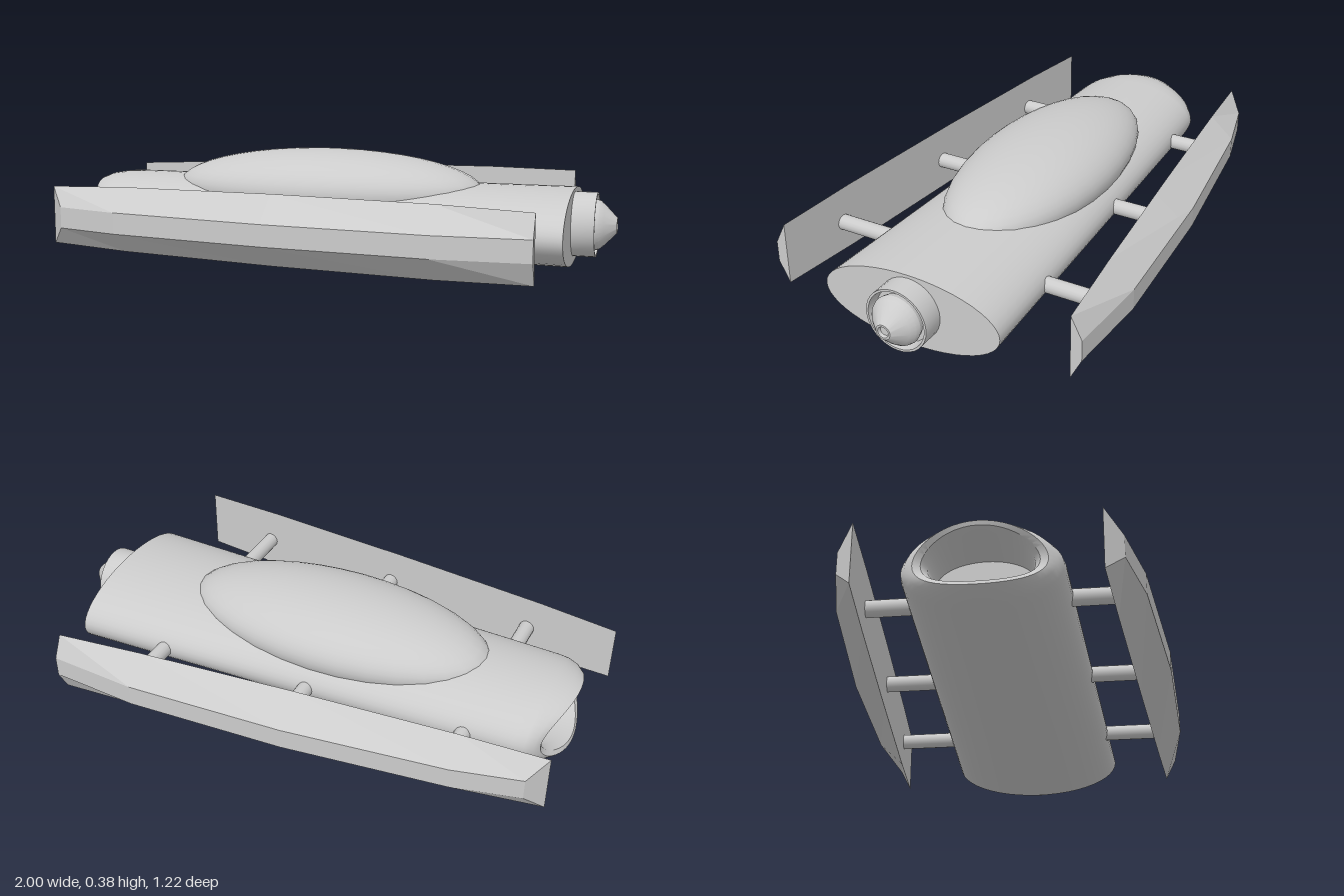
import * as THREE from 'three';
import { toCreasedNormals } from 'three/addons/utils/BufferGeometryUtils.js';

const grey = new THREE.MeshStandardMaterial({ color: 0xcccccc });

// Skin over closed rings of points, running from +x to -x, with capped ends.
function loft(rings, crease) {
  const n = rings[0].length, pos = [], idx = [];
  rings.forEach(r => r.forEach(p => pos.push(...p)));
  for (let i = 0; i < rings.length - 1; i++) {
    for (let j = 0; j < n; j++) {
      const a = i * n + j, b = i * n + (j + 1) % n;
      idx.push(a, a + n, b, b, a + n, b + n);
    }
  }
  const last = (rings.length - 1) * n;
  for (let j = 1; j < n - 1; j++) {
    idx.push(0, j, j + 1);
    idx.push(last, last + j + 1, last + j);
  }
  const geo = new THREE.BufferGeometry();
  geo.setAttribute('position', new THREE.Float32BufferAttribute(pos, 3));
  geo.setIndex(idx);
  return toCreasedNormals(geo, crease);
}

function add(parent, name, geo, x = 0, y = 0, z = 0) {
  const mesh = new THREE.Mesh(geo, grey);
  mesh.name = name;
  mesh.position.set(x, y, z);
  parent.add(mesh);
  return mesh;
}

// Elliptical hull, tapering to a bowed, hollow nose.
function hullGeometry() {
  // x, scale, forward bow at the middle
  const stations = [
    [0.85, 1, 0], [0.3, 1, 0], [-0.3, 1, 0], [-0.84, 1, 0], [-0.875, 0.985, 0.015],
    [-0.905, 0.92, 0.04], [-0.92, 0.82, 0.06], [-0.915, 0.72, 0.06],
    [-0.89, 0.65, 0.05], [-0.78, 0.6, 0],
  ];
  const sides = 48;
  const rings = stations.map(([x, s, bow]) => {
    const halfWidth = 0.297 + 0.045 * x;
    return Array.from({ length: sides }, (_, j) => {
      const t = j / sides * Math.PI * 2, c = Math.cos(t), d = Math.sin(t);
      return [x - bow * c * c, 0.134 + 0.134 * s * c, halfWidth * s * d];
    });
  });
  return loft(rings, 0.7);
}

// Faceted side panel: flat inner face, bevelled outer face.
function panelGeometry(side) {
  // inner x, outer x, outer z, inner half height
  const sections = [
    [0.79, 0.79, 0.59, 0.117], [0.46, 0.46, 0.61, 0.125], [-0.12, -0.12, 0.575, 0.125],
    [-0.7, -0.7, 0.5, 0.117], [-1, -0.94, 0.44, 0.105],
  ];
  const mid = 0.146, h = 0.038;
  const rings = sections.map(([xi, xo, zo, H]) => {
    const zi = 0.38 + (xi + 1) * 0.095;
    const ring = [
      [xi, mid + H, zi * side], [xo, mid + h, zo * side],
      [xo, mid - h, zo * side], [xi, mid - H, zi * side],
    ];
    return side > 0 ? ring : ring.reverse();
  });
  return loft(rings, 0.03);
}

// Turned part whose profile is [radius, x].
function turned(profile) {
  const geo = new THREE.LatheGeometry(profile.map(p => new THREE.Vector2(...p)), 32);
  geo.rotateZ(-Math.PI / 2);
  return toCreasedNormals(geo, 0.4);
}

export function createModel() {
  const model = new THREE.Group();
  model.name = 'shuttle';

  add(model, 'hull', hullGeometry());

  const canopy = new THREE.SphereGeometry(1, 32, 24);
  canopy.scale(0.59, 0.145, 0.265);
  add(model, 'canopy', canopy, -0.065, 0.235, 0);

  // Rear engine: recessed rim with a blunt-tipped plug
  const engine = new THREE.Group();
  engine.name = 'engine';
  engine.position.y = 0.142;
  model.add(engine);
  add(engine, 'engineHousing', turned([
    [0, 0.84], [0.115, 0.84], [0.115, 0.93], [0.107, 0.93], [0.1, 0.89], [0, 0.89],
  ]));
  add(engine, 'enginePlug', turned([
    [0.07, 0.885], [0.086, 0.905], [0.091, 0.925], [0.086, 0.94], [0.072, 0.957],
    [0.027, 1], [0.02, 1], [0.016, 0.99], [0, 0.99],
  ]));

  // Side panels and the struts that carry them
  for (const side of [1, -1]) {
    const label = side > 0 ? 'front' : 'back';
    add(model, label + 'Panel', panelGeometry(side));
    for (const x of [-0.66, -0.07, 0.505]) {
      const end = 0.385 + (x + 1) * 0.095, start = 0.2;
      const strut = new THREE.CylinderGeometry(0.029, 0.029, end - start, 16);
      strut.rotateX(Math.PI / 2);
      add(model, label + 'Strut', strut, x, 0.134, side * (start + end) / 2);
    }
  }
  return model;
}
